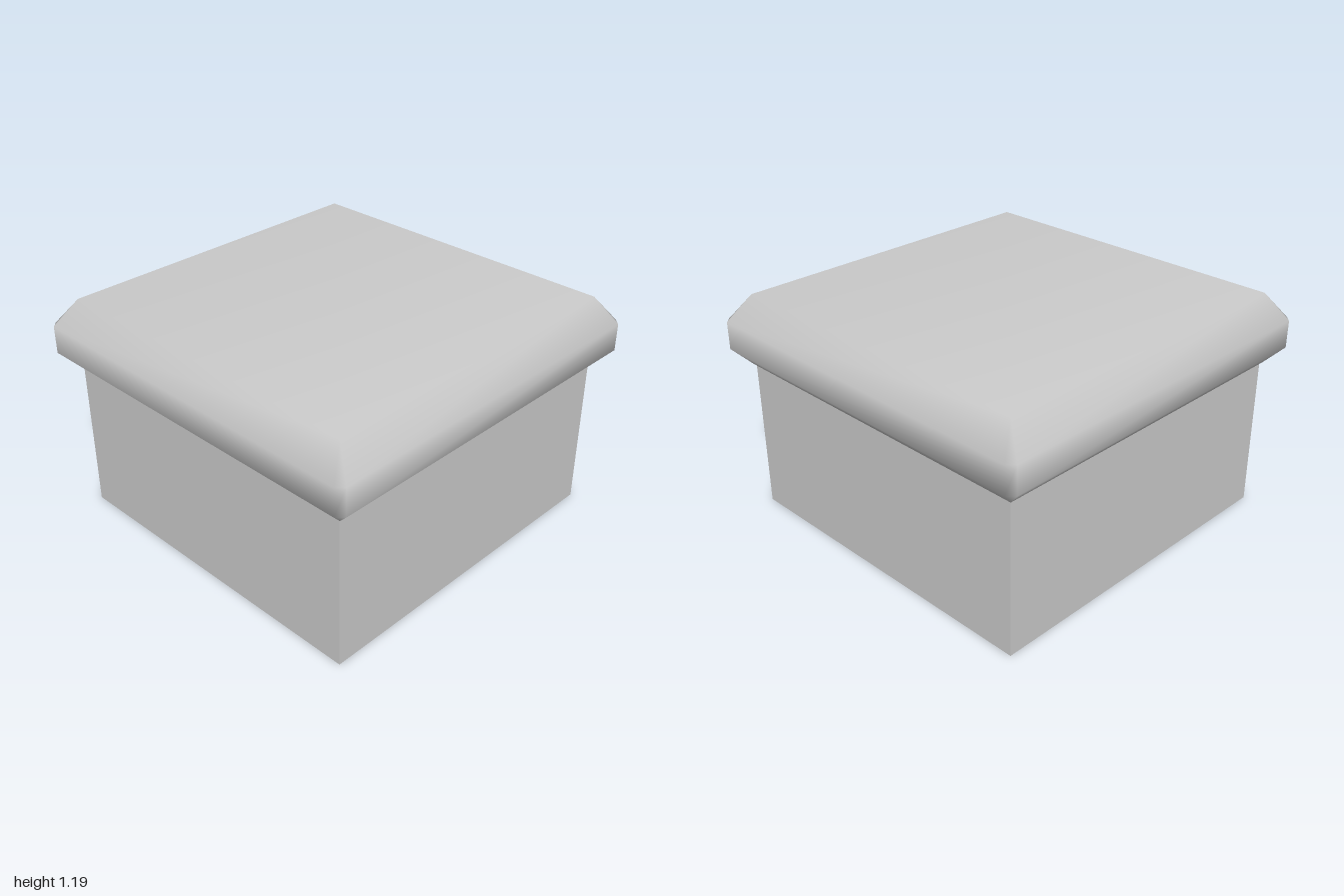
import * as THREE from 'three';
import { mergeVertices } from 'three/addons/utils/BufferGeometryUtils.js';

// Square outline with cut corners, counter-clockwise seen from above
function ring([half, cut, y]) {
  const pts = [];
  for (const [sx, sz] of [[1, 1], [1, -1], [-1, -1], [-1, 1]]) {
    const a = [sx * (half - cut), y, sz * half];
    const b = [sx * half, y, sz * (half - cut)];
    pts.push(...(sx * sz > 0 ? [a, b] : [b, a]));
  }
  return pts;
}

// Smooth shell through rings from bottom to top, closed by a flat top
function shell(levels, inward) {
  const rings = levels.map(ring);
  const out = [];
  const tri = (a, b, c) => out.push(...a, ...(inward ? c : b), ...(inward ? b : c));
  for (let r = 0; r < rings.length - 1; r++) {
    const lo = rings[r], hi = rings[r + 1];
    for (let i = 0; i < 8; i++) {
      const j = (i + 1) % 8;
      tri(lo[i], lo[j], hi[j]);
      tri(lo[i], hi[j], hi[i]);
    }
  }
  const top = rings[rings.length - 1];
  for (let i = 1; i < 7; i++) tri(top[0], top[i], top[i + 1]);
  let geo = new THREE.BufferGeometry();
  geo.setAttribute('position', new THREE.Float32BufferAttribute(out, 3));
  geo = mergeVertices(geo);
  geo.computeVertexNormals();
  return geo;
}

export function createModel() {
  const model = new THREE.Group();
  const grey = new THREE.MeshStandardMaterial({ color: 0xcccccc, side: THREE.DoubleSide });
  grey.name = 'plain grey';

  const add = (name, geo) => {
    const mesh = new THREE.Mesh(geo, grey);
    mesh.name = name;
    model.add(mesh);
  };

  // Thin square walls, open at both ends
  const wallTop = 0.81;
  const walls = new THREE.CylinderGeometry(0.9 * Math.SQRT2, 0.9 * Math.SQRT2, wallTop, 4, 1, true)
    .rotateY(Math.PI / 4).translate(0, wallTop / 2, 0).toNonIndexed();
  walls.computeVertexNormals();
  add('boxWalls', walls);

  // Rounded hollow lid
  add('lidOuter', shell([[0.91, 0, wallTop], [1, 0.035, 0.905], [1, 0.035, 1.05], [0.89, 0, 1.19]], false));
  add('lidInner', shell([[0.8, 0, wallTop], [0.89, 0.03, 0.94], [0.89, 0.03, 1.02], [0.8, 0, 1.09]], true));

  // Flat underside joining the two lid shells
  add('lidRim', new THREE.RingGeometry(0.8 * Math.SQRT2, 0.91 * Math.SQRT2, 4, 1, Math.PI / 4)
    .rotateX(Math.PI / 2).translate(0, wallTop, 0));

  return model;
}
